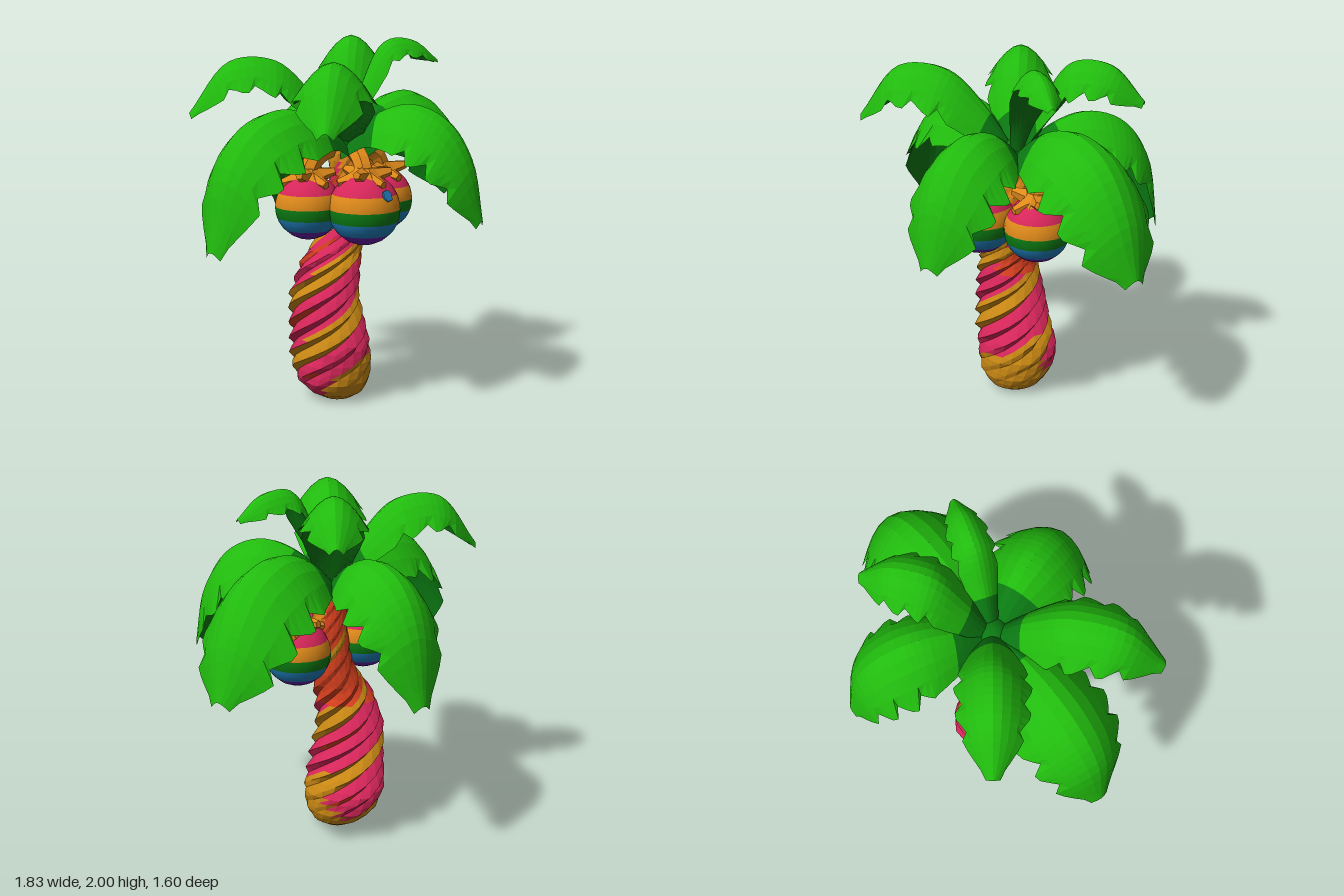
import * as THREE from 'three';

const mat = (name, color) => {
  const m = new THREE.MeshStandardMaterial({ color });
  m.name = name;
  return m;
};
const M = {
  leaf: mat('leaf green', 0x21bb0e),
  dark: mat('deep green', 0x0b7a12),
  pink: mat('pink', 0xd6265a),
  bark: mat('ochre', 0xc98814),
  red: mat('red orange', 0xd8401f),
  orange: mat('orange', 0xdf8a1a),
  blue: mat('blue', 0x1f7dba),
  purple: mat('purple', 0x641fa6),
};
const V = (x, y, z) => new THREE.Vector3(x, y, z);

// Collects faceted quads by material and turns them into one mesh with groups
class Facets {
  constructor() { this.lists = new Map(); }
  quad(m, a, b, c, d) {
    if (!this.lists.has(m)) this.lists.set(m, []);
    this.lists.get(m).push(a, b, c, a, c, d);
  }
  mesh(name) {
    const g = new THREE.BufferGeometry(), pts = [], mats = [];
    for (const [m, list] of this.lists) {
      g.addGroup(pts.length, list.length, mats.length);
      mats.push(m);
      pts.push(...list);
    }
    g.setFromPoints(pts);
    g.computeVertexNormals();
    const mesh = new THREE.Mesh(g, mats);
    mesh.name = name;
    return mesh;
  }
}

// Linear lookup in rows of [key, value...]
function lookup(rows, k) {
  let i = 0;
  while (i < rows.length - 2 && k > rows[i + 1][0]) i++;
  const [p, q] = [rows[i], rows[i + 1]];
  const f = THREE.MathUtils.clamp((k - p[0]) / (q[0] - p[0]), 0, 1);
  return p.map((v, j) => v + (q[j] - v) * f);
}

// Trunk: leaning, swollen base, twisted ridges with spiral stripes
function trunk() {
  const profile = [ // y, x, z, radius
    [0, -0.06, 0.02, 0.08], [0.03, -0.065, 0.02, 0.14], [0.1, -0.08, 0.01, 0.2],
    [0.22, -0.09, 0, 0.225], [0.4, -0.12, 0.02, 0.205], [0.6, -0.15, 0.03, 0.185],
    [0.78, -0.12, 0.05, 0.16], [0.95, -0.04, 0.04, 0.125], [1.2, 0, 0.01, 0.095], [1.45, -0.01, 0.01, 0.09],
  ];
  const cols = 24, rows = 40, twist = 8.7, f = new Facets();
  const angle = (i, y) => (i / cols) * Math.PI * 2 + twist * y;
  const point = (i, j) => {
    const y = Math.max(0, j - 1) / (rows - 1) * 1.45;
    const [, x, z, r] = lookup(profile, y);
    const ridge = [0.91, 1.0, 1.07][i % 3], a = angle(i, y);
    // the ridges fade out on the smooth bulb at the foot and towards the crown
    let depth = Math.min(1, y / 0.3);
    if (y < 0.3 && Math.cos(a - 1) > 0) depth *= 0.4;
    if (y > 0.85) depth *= 0.4;
    const R = j === 0 ? 0 : r * (1 + (ridge - 1) * depth);
    return V(x + R * Math.sin(a), y, z + R * Math.cos(a));
  };
  const colour = (i, j) => {
    const y = (j / rows) * 1.45, a = angle(i + 0.5, y);
    const right = Math.cos(a - 1.1), back = -Math.cos(a - 0.5);
    if (y < 0.06 || (right > -0.1 && y < 0.14 + 0.14 * right)) return M.bark;
    if (y > 1.22 && back < 0) return M.orange;
    const s = i % 12;
    if (y > 0.74 && Math.cos(a - 2.5) > 0.1 && s < 10) return M.red;
    if (s >= (back > 0 ? 8 : 7)) return M.bark;
    if (s === 2 && y > 0.15 && back > -0.3) return M.red;
    return M.pink;
  };
  for (let j = 0; j < rows; j++)
    for (let i = 0; i < cols; i++)
      f.quad(colour(i, j), point(i + 1, j), point(i + 1, j + 1), point(i, j + 1), point(i, j));
  return f.mesh('trunk');
}

// Leaf: arched, thick blade along a drooping rib, with notched edges
function leaf(name, base, rib, half) {
  const curve = new THREE.CatmullRomCurve3([base, ...rib]);
  const tip = rib[rib.length - 1];
  const side = V(tip.z - base.z, 0, base.x - tip.x).normalize();
  const shape = [[0, 0.4], [0.15, 0.62], [0.32, 0.95], [0.5, 1.08], [0.7, 1.02], [0.84, 0.82], [0.94, 0.5], [1, 0.2]];
  const rows = 24, cols = 8, f = new Facets();
  const point = (i, j, under) => {
    const t = j / rows, s = (i / cols) * 2 - 1;
    const c = curve.getPoint(t), n = curve.getTangent(t).cross(side).normalize();
    let w = half * lookup(shape, t)[1];
    if (t > 0.35 && Math.abs(s) === 1) w *= [1.06, 1.04, 0.96, 0.86][j % 4];
    const sag = w * 0.95 * Math.abs(s) ** 1.8;
    const thick = under ? 0.06 * (1 - s * s) * (1 - t * t) : 0;
    // the edges hang mostly straight down
    return c.addScaledVector(side, s * w).addScaledVector(n, -0.35 * sag - thick).add(V(0, -0.65 * sag, 0));
  };
  for (let j = 0; j < rows; j++)
    for (let i = 0; i < cols; i++) {
      const top = j < 5 ? M.dark : M.leaf;
      f.quad(top, point(i, j), point(i, j + 1), point(i + 1, j + 1), point(i + 1, j));
      f.quad(M.dark, point(i, j, 1), point(i + 1, j, 1), point(i + 1, j + 1, 1), point(i, j + 1, 1));
    }
  return f.mesh(name);
}

// Fruit: striped ball with a ragged calyx, an arched stem and sometimes a blue spot
function fruit(x, y, z, r, spotDir) {
  const g = new THREE.Group();
  g.name = 'fruit';
  const add = (name, geo, m) => {
    const mesh = new THREE.Mesh(geo, m);
    mesh.name = name;
    g.add(mesh);
    return mesh;
  };
  const faceted = (name, geo) => {
    const flat = geo.toNonIndexed();
    flat.computeVertexNormals();
    return add(name, flat, M.orange);
  };
  const bands = [[0, M.pink], [1.12, M.orange], [1.55, M.dark], [1.9, M.blue], [2.32, M.purple], [Math.PI]];
  for (let i = 0; i < 5; i++) {
    const from = bands[i][0], size = bands[i + 1][0] - from;
    add('fruitBand', new THREE.SphereGeometry(r, 20, i ? 3 : 5, 0, Math.PI * 2, from, size), bands[i][1]).position.set(x, y, z);
  }
  if (spotDir) {
    const out = spotDir.normalize();
    const spot = add('spot', new THREE.CylinderGeometry(0.033, 0.035, 0.008, 6), M.blue);
    spot.position.set(x, y, z).addScaledVector(out, r);
    spot.quaternion.setFromUnitVectors(V(0, 1, 0), out);
  }
  // calyx flaps, blunt and uneven
  for (let k = 0; k < 6; k++) {
    const a = (k / 6) * Math.PI * 2 + 0.3;
    const dir = V(Math.sin(a), k % 2 ? 0.2 : -0.2, Math.cos(a)).normalize();
    const flap = faceted('calyxFlap', new THREE.CylinderGeometry(0.022, 0.055, 0.13, 5));
    flap.quaternion.setFromUnitVectors(V(0, 1, 0), dir);
    flap.position.set(x, y + r * 0.89, z).addScaledVector(dir, 0.085);
  }
  faceted('calyxCap', new THREE.CylinderGeometry(0.05, 0.11, 0.07, 7)).position.set(x, y + r * 0.97, z);
  const stem = new THREE.CatmullRomCurve3([
    V(x, y + r, z), V(x * 0.85, 1.35, z * 0.85), V(x * 0.5, 1.4, z * 0.5), V(0, 1.41, 0)]);
  faceted('stem', new THREE.TubeGeometry(stem, 8, 0.052, 6));
  return g;
}

export function createModel() {
  const palm = new THREE.Group();
  palm.name = 'palmTree';
  palm.add(trunk());
  palm.add(
    fruit(0, 1.1, 0.23, 0.195, V(0.28, 0.47, 0.84)),
    fruit(0.23, 1.1, -0.03, 0.18),
    fruit(-0.24, 1.1, 0.03, 0.18, V(-0.5, 0.42, -0.77)),
  );

  // low leaves droop past the fruit, high leaves arch upward: tip x, y, z, half width, peak height
  const base = V(-0.02, 1.44, 0.02);
  const low = [[0.25, 0.75], [0.5, 1], [0.74, 0.66], [0.91, -0.25]];
  const high = [[0.2, 0.55], [0.44, 0.96], [0.74, 0.96]];
  const leaves = [
    ['lowLeaf', -0.04, 0.98, -0.8, 0.235, 1.65, low],
    ['lowLeaf', 0.9, 1.06, -0.36, 0.27, 1.69, low],
    ['lowLeaf', 0.5, 1.06, 0.62, 0.25, 1.66, low],
    ['lowLeaf', -0.92, 0.97, 0.36, 0.25, 1.65, low],
    ['highLeaf', -0.49, 1.59, 0.79, 0.19, 1.9, high],
    ['highLeaf', -0.82, 1.61, -0.22, 0.17, 1.9, high],
    ['highLeaf', 0.34, 1.8, -0.57, 0.16, 2, high],
    ['highLeaf', 0.57, 1.87, -0.01, 0.1, 2, high],
  ];
  for (const [name, x, y, z, half, peak, rise] of leaves) {
    const tip = V(x, y, z);
    const rib = rise.map(([f, h]) => base.clone().lerp(tip, f).setY(base.y + (peak - base.y) * h));
    palm.add(leaf(name, base, [...rib, tip], half));
  }
  // crown core where the leaves meet
  const core = new THREE.Mesh(new THREE.IcosahedronGeometry(0.09, 1), M.dark);
  core.name = 'crownCore';
  core.position.set(-0.02, 1.44, 0.02);
  palm.add(core);
  return palm;
}
